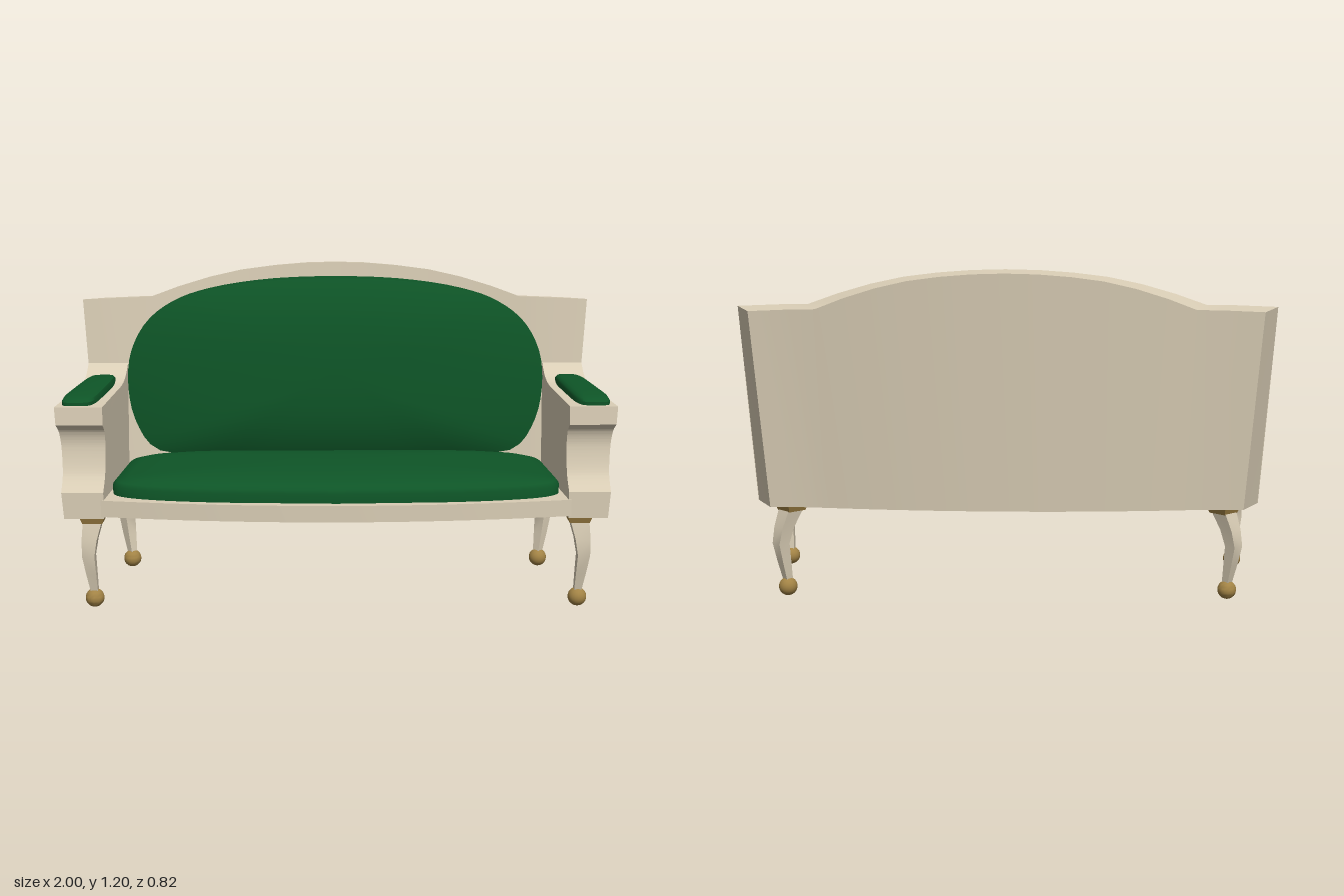
import * as THREE from 'three';
import { toCreasedNormals } from 'three/addons/utils/BufferGeometryUtils.js';

const cream = new THREE.MeshStandardMaterial({ color: 0xd9cdb5 });
cream.name = 'cream wood';
const green = new THREE.MeshStandardMaterial({ color: 0x0e5527 });
green.name = 'green upholstery';
const gold = new THREE.MeshStandardMaterial({ color: 0xa28345 });
gold.name = 'gold fittings';

// signed power, for superellipse outlines
const spow = (v, p) => Math.sign(v) * Math.abs(v) ** p;
const bow = (x) => Math.max(0, 1 - (x / 0.8) ** 2);

// leaning, bowed faces of the backrest and the splayed outside of the arms
const backFront = (x, y) => -0.215 - 0.065 * bow(x) + 0.08 * (1.07 - y);
const backRear = (x, y) => -0.35 - 0.055 * bow(x) + 0.08 * (1.07 - y);
const armOuter = (z, y) => 0.936 + 0.11 * z + 0.075 * (y - 0.35);
const armInner = (z) => 0.81 + 0.06 * z;

// skin over closed rings, each counterclockwise about the direction of travel
function loft(rings, crease = 0.6) {
  const n = rings[0].length, pos = [], idx = [];
  rings.forEach((r) => r.forEach((p) => pos.push(...p)));
  for (let i = 0; i < rings.length - 1; i++) {
    for (let j = 0; j < n; j++) {
      const a = i * n + j, b = i * n + (j + 1) % n;
      idx.push(a, b, b + n, a, b + n, a + n);
    }
  }
  for (const end of [0, rings.length - 1]) {
    const c = pos.length / 3, o = end * n;
    pos.push(...[0, 1, 2].map((k) => rings[end].reduce((s, p) => s + p[k], 0) / n));
    for (let j = 0; j < n; j++) {
      const a = o + j, b = o + (j + 1) % n;
      end ? idx.push(c, a, b) : idx.push(c, b, a);
    }
  }
  const g = new THREE.BufferGeometry();
  g.setAttribute('position', new THREE.Float32BufferAttribute(pos, 3));
  g.setIndex(idx);
  return toCreasedNormals(g, crease);
}

// reflect an unindexed geometry in x, keeping its faces outward
function mirrored(geo) {
  const g = geo.clone(), p = g.attributes.position, v = new THREE.Vector3(), w = new THREE.Vector3();
  for (let i = 0; i < p.count; i += 3) {
    v.fromBufferAttribute(p, i + 1);
    w.fromBufferAttribute(p, i + 2);
    p.setXYZ(i, -p.getX(i), p.getY(i), p.getZ(i));
    p.setXYZ(i + 1, -w.x, w.y, w.z);
    p.setXYZ(i + 2, -v.x, v.y, v.z);
  }
  g.deleteAttribute('normal');
  return toCreasedNormals(g, 0.6);
}

function backrest() {
  const half = [[0, 1.2], [0.12, 1.197], [0.24, 1.188], [0.36, 1.173], [0.48, 1.147],
    [0.6, 1.112], [0.71, 1.073], [0.81, 1.071], [0.965, 1.065]];
  const cols = [...half.slice(1).reverse().map(([x, y]) => [-x, y]), ...half];
  return loft(cols.map(([x, top]) => {
    const u = x / 0.965;
    const front = (y) => [u * armOuter(backFront(x, y), y), y, backFront(x, y)];
    const rear = (y) => [u * (0.85 + 0.075 * (y - 0.35)), y, backRear(x, y)];
    return [rear(top - 0.01), front(top), front(0.345), rear(0.345)];
  }), 0.4);
}

function armPanel() {
  const s = new THREE.Shape();
  const V = (z, y) => new THREE.Vector2(-z, y);
  s.moveTo(-0.33, 0.345);
  s.lineTo(-0.33, 0.44);
  s.splineThru([V(0.285, 0.5), V(0.265, 0.59), V(0.275, 0.65), V(0.305, 0.68)]);
  s.lineTo(-0.3, 0.745);
  s.lineTo(0.05, 0.757);
  s.splineThru([V(-0.1, 0.765), V(-0.15, 0.785), V(-0.2, 0.825)]);
  s.lineTo(0.162, 0.345);
  const g = new THREE.ExtrudeGeometry(s, { depth: 1, bevelEnabled: false, curveSegments: 14 });
  const p = g.attributes.position;
  for (let i = 0; i < p.count; i++) {
    const z = -p.getX(i), y = p.getY(i), t = p.getZ(i);
    p.setXYZ(i, THREE.MathUtils.lerp(armInner(z), armOuter(z, y), t), y, z);
  }
  return toCreasedNormals(g, 0.6);
}

function seatBase() {
  const s = new THREE.Shape();
  s.moveTo(-0.83, 0.15);
  for (let i = -12; i <= 12; i++) {
    const x = 0.84 * i / 12;
    s.lineTo(x, -0.33 - 0.08 * (1 - (i / 12) ** 2));
  }
  s.lineTo(0.83, 0.15);
  s.lineTo(0.78, 0.25);
  s.lineTo(-0.78, 0.25);
  const g = new THREE.ExtrudeGeometry(s, { depth: 0.06, bevelEnabled: false });
  g.rotateX(-Math.PI / 2).translate(0, 0.352, 0);
  return toCreasedNormals(g, 0.4);
}

// rings of a domed pad: each level is [scale, height], place maps unit plan to space
function pad(levels, place, power, n = 64) {
  return loft(levels.map(([k, h]) => Array.from({ length: n }, (_, j) => {
    const a = j / n * Math.PI * 2;
    return place(spow(Math.sin(a), power), spow(Math.cos(a), power), k, h);
  })), 0.9);
}

const seatCushion = () => pad(
  [[1, 0.405], [1, 0.445], [0.985, 0.46], [0.93, 0.471], [0.8, 0.484], [0.6, 0.494], [0.35, 0.5], [0.1, 0.502]],
  (u, w, k, h) => [
    0.805 * u * (1 + 0.02 * w) * k, h,
    0.08 + k * w * (w > 0 ? 0.225 + 0.075 * (1 - u * u) : 0.3)],
  0.3);

const armPad = () => pad(
  [[1, -0.03], [1, 0], [0.93, 0.009], [0.75, 0.014], [0.45, 0.018], [0.1, 0.019]],
  (u, w, k, h) => {
    const z = 0.07 + 0.213 * w * k;
    return [0.895 + 0.107 * z + u * k * (0.055 + 0.03 * z), 0.758 + 0.05 * (0.28 - z) + h, z];
  }, 0.4, 40);

function backCushion() {
  const half = [[0.35, 0.475], [0.69, 0.49], [0.77, 0.6], [0.797, 0.74], [0.783, 0.87],
    [0.72, 0.985], [0.62, 1.058], [0.5, 1.1], [0.28, 1.135]];
  const loop = [[0, 0.47], ...half, [0, 1.146], ...half.map(([x, y]) => [-x, y]).reverse()];
  const curve = new THREE.CatmullRomCurve3(loop.map(([x, y]) => new THREE.Vector3(x, y, 0)), true);
  const pts = curve.getPoints(72).slice(0, -1);
  const ring = (k, z) => pts.map((p) => {
    const x = p.x * k, y = 0.8 + (p.y - 0.8) * k;
    return [x, y, z(x, y)];
  });
  const rings = [ring(1, (x, y) => backFront(x, y) - 0.02)];
  for (const k of [1, 0.96, 0.88, 0.75, 0.58, 0.38, 0.12]) {
    rings.push(ring(k, (x, y) => -0.117 - 0.06 * k ** 3 - 0.06 * (y - 0.8)));
  }
  return loft(rings, 0.8);
}

// curved tapering leg with a square section; stations are [x, y, z, half width]
function legGeometry(front) {
  const stations = front
    ? [[0.88, 0.06, 0.276, 0.013], [0.887, 0.13, 0.286, 0.018], [0.893, 0.2, 0.298, 0.022],
      [0.888, 0.26, 0.292, 0.027], [0.876, 0.33, 0.272, 0.034]]
    : [[0.805, 0.06, -0.217, 0.013], [0.815, 0.13, -0.228, 0.018], [0.824, 0.2, -0.238, 0.022],
      [0.812, 0.26, -0.231, 0.026], [0.787, 0.33, -0.215, 0.032]];
  const turn = front ? Math.PI / 4 : 0;
  return loft(stations.map(([x, y, z, w]) => [0, 1, 2, 3].map((j) => {
    const a = turn + j * Math.PI / 2;
    return [x + Math.sin(a) * w * Math.SQRT2, y, z + Math.cos(a) * w * Math.SQRT2];
  })), 0.5);
}

export function createModel() {
  const model = new THREE.Group();
  model.name = 'settee';
  const add = (name, geo, mat) => {
    const m = new THREE.Mesh(geo, mat);
    m.name = name;
    model.add(m);
  };
  const addPair = (name, geo, mat) => {
    const g = geo.index ? geo.toNonIndexed() : geo;
    add('left' + name, g, mat);
    add('right' + name, mirrored(g), mat);
  };

  // frame
  add('backrest', backrest(), cream);
  add('seatBase', seatBase(), cream);
  addPair('Arm', armPanel(), cream);

  // upholstery
  add('seatCushion', seatCushion(), green);
  add('backCushion', backCushion(), green);
  addPair('ArmPad', armPad(), green);

  // legs with gold caps and ball feet
  for (const front of [true, false]) {
    const end = front ? 'Front' : 'Back';
    addPair(end + 'Leg', legGeometry(front), cream);
    const cap = new THREE.CylinderGeometry(0.065, 0.05, 0.03, 4);
    if (front) cap.rotateY(Math.PI / 4);
    cap.translate(front ? 0.876 : 0.787, 0.334, front ? 0.272 : -0.213);
    addPair(end + 'LegCap', toCreasedNormals(cap, 0.5), gold);
    const ball = new THREE.SphereGeometry(0.034, 20, 14);
    ball.translate(front ? 0.88 : 0.805, 0.034, front ? 0.276 : -0.217);
    addPair(end + 'Foot', ball, gold);
  }
  return model;
}
